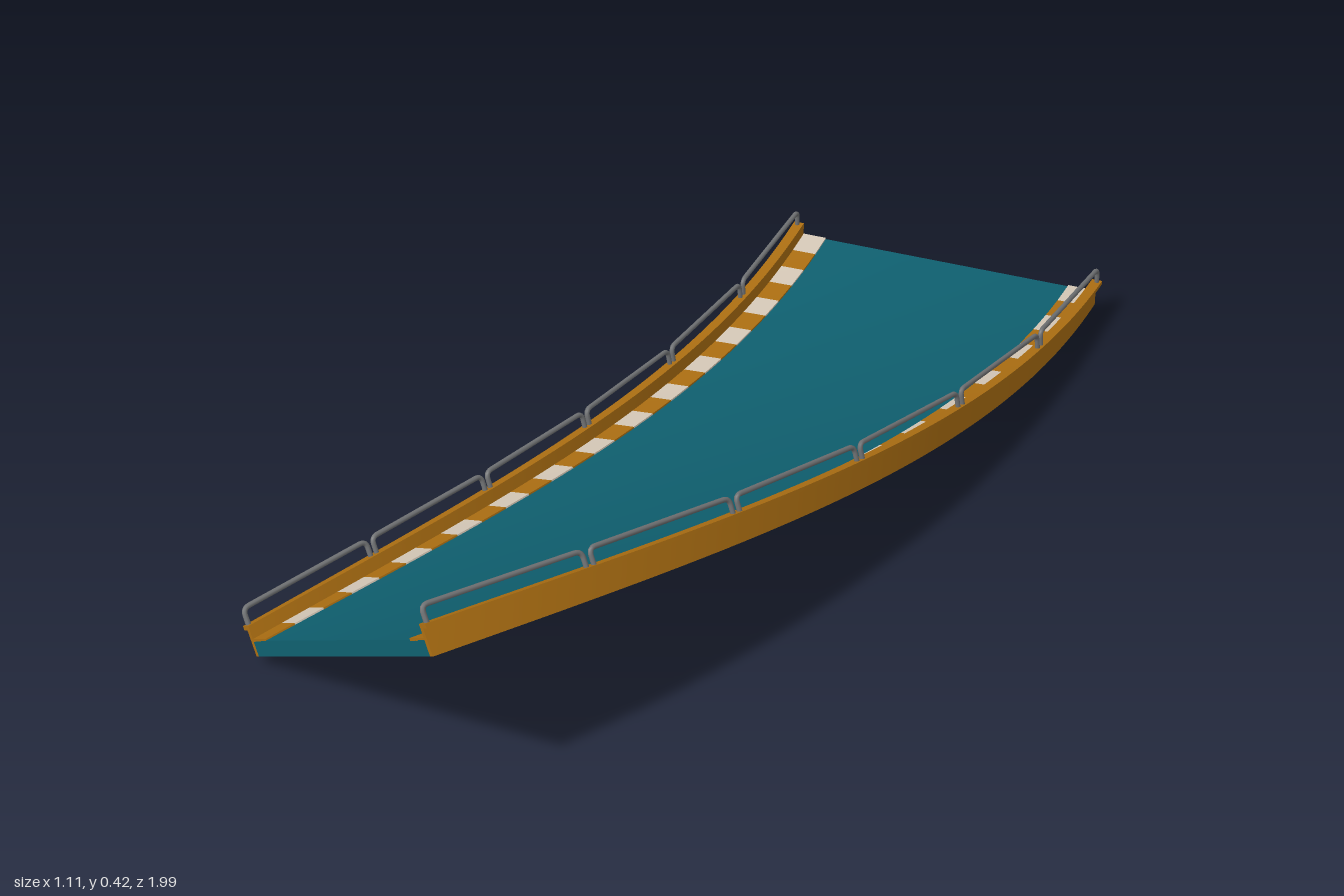
import * as THREE from 'three';

const RADIUS = 3.7;            // plan radius of the centre line
const TURN = Math.PI / 6;      // total turn, also the final bank angle
const material = (color) => new THREE.MeshStandardMaterial({ color });

// Maps track coordinates (across, up, along 0..1) onto the climbing, banking curve
function bend(x, y, t) {
  const a = t * TURN;
  const height = 0.018 + 0.162 * t * t * (3 - 2 * t);
  const out = x * Math.cos(a) - y * Math.sin(a);
  const up = x * Math.sin(a) + y * Math.cos(a);
  return new THREE.Vector3(
    0.22 - RADIUS + (RADIUS + out) * Math.cos(a),
    height + up,
    -1 + (RADIUS + out) * Math.sin(a)
  );
}

// Box spanning x0..x1, y0..y1 and t0..t1, bent along the track
function bentBox(name, mat, [x0, x1], [y0, y1], [t0, t1], segments, across = 1) {
  const geo = new THREE.BoxGeometry(x1 - x0, y1 - y0, t1 - t0, across, 1, segments);
  geo.translate((x0 + x1) / 2, (y0 + y1) / 2, (t0 + t1) / 2);
  const pos = geo.attributes.position;
  for (let i = 0; i < pos.count; i++) {
    const p = bend(pos.getX(i), pos.getY(i), pos.getZ(i));
    pos.setXYZ(i, p.x, p.y, p.z);
  }
  geo.computeVertexNormals();
  const mesh = new THREE.Mesh(geo, mat);
  mesh.name = name;
  return mesh;
}

// Straight guard rail with two posts and rounded corners
function railBracket(mat, x, t0, t1) {
  const foot0 = bend(x, 0.055, t0), foot1 = bend(x, 0.055, t1);
  const top0 = bend(x, 0.088, t0), top1 = bend(x, 0.088, t1);
  const toward = (a, b, d) => a.clone().add(b.clone().sub(a).setLength(d));
  const r = 0.014;
  const a = toward(top0, foot0, r), b = toward(top0, top1, r);
  const c = toward(top1, top0, r), d = toward(top1, foot1, r);
  const path = new THREE.CurvePath();
  path.add(new THREE.LineCurve3(foot0, a));
  path.add(new THREE.QuadraticBezierCurve3(a, top0, b));
  path.add(new THREE.LineCurve3(b, c));
  path.add(new THREE.QuadraticBezierCurve3(c, top1, d));
  path.add(new THREE.LineCurve3(d, foot1));
  const mesh = new THREE.Mesh(new THREE.TubeGeometry(path, 80, 0.005, 8), mat);
  mesh.name = 'guardRail';
  return mesh;
}

export function createModel() {
  const model = new THREE.Group();
  model.name = 'bankedTrack';
  const teal = material(0x0f6070);
  const ochre = material(0xad6f12);
  const beige = material(0xd6c9b8);
  const steel = material(0x707274);

  // Road slab
  model.add(bentBox('roadDeck', teal, [-0.312, 0.312], [0, 0.03], [0, 1], 60, 8));

  for (const side of [-1, 1]) {
    const edge = new THREE.Group();
    edge.name = side > 0 ? 'outerEdge' : 'innerEdge';
    const span = (a, b) => (side > 0 ? [a, b] : [-b, -a]);

    // Side wall with a lip along its top
    edge.add(bentBox('sideWall', ochre, span(0.312, 0.321), [0, 0.052], [0, 1], 60));
    edge.add(bentBox('wallLip', ochre, span(0.312, 0.333), [0.05, 0.058], [0, 1], 60));

    // Striped kerb
    const stripes = 28;
    for (let i = 0; i < stripes; i++) {
      edge.add(bentBox('kerbStripe', i % 2 ? ochre : beige, span(0.263, 0.312),
        [0.028, 0.033], [i / stripes, (i + 1) / stripes], 3));
    }

    // Row of guard rails
    const rails = 6;
    for (let i = 0; i < rails; i++) {
      edge.add(railBracket(steel, side * 0.324, i / rails + 0.004, (i + 1) / rails - 0.004));
    }
    model.add(edge);
  }
  return model;
}
